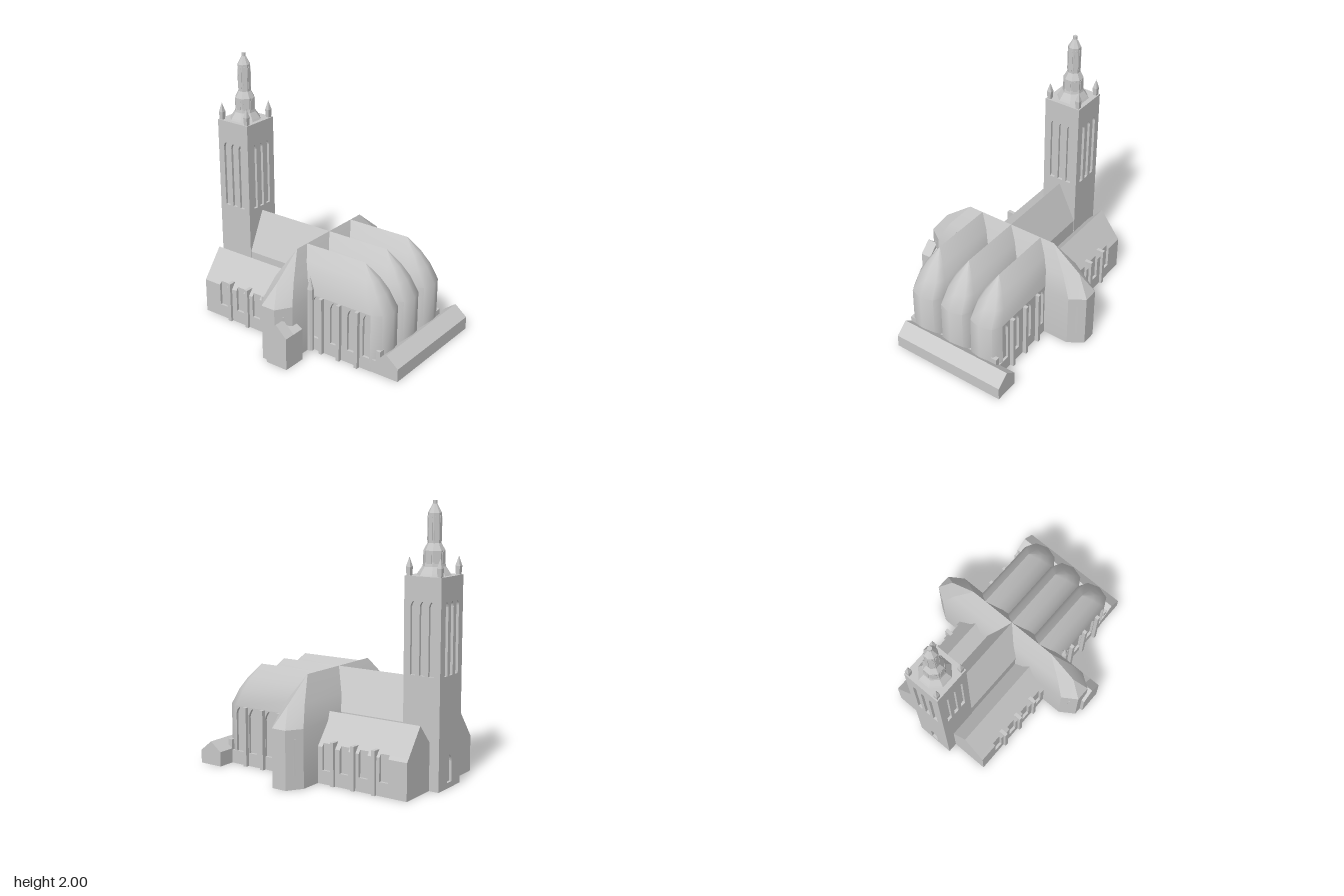
import * as THREE from 'three';
import { toCreasedNormals } from 'three/addons/utils/BufferGeometryUtils.js';

const AXIS_Z = -0.013; // z of the building's long axis
const stone = new THREE.MeshStandardMaterial({ color: 0xc8c8c8 });
stone.name = 'stone';

export function createModel() {
  const model = new THREE.Group();
  model.name = 'church';
  const body = new THREE.Group();
  body.name = 'churchBody';
  body.position.z = AXIS_Z;
  model.add(body);

  const add = (name, geo, parent = body) => {
    const mesh = new THREE.Mesh(geo, stone);
    mesh.name = name;
    parent.add(mesh);
    return mesh;
  };

  // Box given by its limits
  const box = (name, x0, x1, y0, y1, z0, z1, parent = body) => {
    const g = new THREE.BoxGeometry(x1 - x0, y1 - y0, z1 - z0);
    g.translate((x0 + x1) / 2, (y0 + y1) / 2, (z0 + z1) / 2);
    return add(name, g, parent);
  };

  const toShape = (pts) => new THREE.Shape(pts.map(([x, y]) => new THREE.Vector2(x, y)));

  // Prism along x from a [z, y] profile
  const prismX = (name, profile, x0, x1, parent = body) => {
    const g = new THREE.ExtrudeGeometry(toShape(profile.map(([z, y]) => [-z, y])),
      { depth: x1 - x0, bevelEnabled: false });
    g.rotateY(Math.PI / 2).translate(x0, 0, 0);
    return add(name, g, parent);
  };

  // Prism along z from an [x, y] profile
  const prismZ = (name, profile, z0, z1, parent = body) => {
    const g = new THREE.ExtrudeGeometry(toShape(profile), { depth: z1 - z0, bevelEnabled: false });
    g.translate(0, 0, z0);
    return add(name, g, parent);
  };

  // Pointed window outline
  const lancet = (cx, y0, y1, hw, Type = THREE.Path) => {
    const p = new Type(), spring = y1 - 1.7 * hw;
    p.moveTo(cx - hw, y0);
    p.lineTo(cx + hw, y0);
    p.lineTo(cx + hw, spring);
    p.quadraticCurveTo(cx + hw * 0.8, y1 - hw * 0.6, cx, y1);
    p.quadraticCurveTo(cx - hw * 0.8, y1 - hw * 0.6, cx - hw, spring);
    p.lineTo(cx - hw, y0);
    return p;
  };

  // Wall panel pierced by windows, in the xy plane
  const panelGeo = (x0, x1, y1, depth, holes) => {
    const s = toShape([[x0, 0], [x1, 0], [x1, y1], [x0, y1]]);
    s.holes.push(...holes);
    return new THREE.ExtrudeGeometry(s, { depth, bevelEnabled: false, curveSegments: 4 });
  };

  // Skin between rings of [x, z] points stacked by height, with a floor
  const loft = (name, levels, crease) => {
    const pos = [], idx = [], n = levels[0].ring.length;
    for (const { y, ring } of levels) for (const [x, z] of ring) pos.push(x, y, z);
    for (let l = 0; l < levels.length - 1; l++) {
      for (let i = 0; i < n; i++) {
        const a = l * n + i, b = l * n + (i + 1) % n;
        idx.push(a, b, b + n, a, b + n, a + n);
      }
    }
    for (let i = 1; i < n - 1; i++) idx.push(0, i + 1, i);
    const g = new THREE.BufferGeometry();
    g.setAttribute('position', new THREE.Float32BufferAttribute(pos, 3));
    g.setIndex(idx);
    return add(name, toCreasedNormals(g, crease));
  };

  // Nave
  prismX('nave', [[-0.145, 0], [0.145, 0], [0.145, 0.46], [0, 0.765], [-0.145, 0.46]], -0.78, 0.02);

  // Aisles with open window bays and buttresses
  const bays = [-0.665, -0.495, -0.335, -0.185];
  for (const s of [-1, 1]) {
    prismX('aisle', [[0.1, 0], [0.423, 0], [0.423, 0.295], [0.275, 0.49], [0.1, 0.29]]
      .map(([z, y]) => [z * s, y]), -0.85, -0.02);
    const edges = [-0.85, ...bays.flatMap((x) => [x - 0.036, x + 0.036]), -0.05];
    const pier = [[0.423, 0], [0.443, 0], [0.443, 0.27], [0.423, 0.295]].map(([z, y]) => [z * s, y]);
    for (let i = 0; i < edges.length; i += 2) prismX('aislePier', pier, edges[i], edges[i + 1]);
    const [z0, z1] = [0.423 * s, 0.443 * s].sort((a, b) => a - b);
    box('aisleSill', -0.84, -0.06, 0, 0.1, z0, z1);
    for (const x of [-0.59, -0.417, -0.245]) {
      const [b0, b1] = [0.39 * s, 0.465 * s].sort((a, b) => a - b);
      box('aisleButtress', x - 0.014, x + 0.014, 0, 0.32, b0, b1);
    }
  }

  // Transept with faceted ends
  const transeptRing = (y, w, shoulder, tip, end) => ({
    y,
    ring: [[-w, shoulder], [-tip, end], [tip, end], [w, shoulder],
      [w, -shoulder], [tip, -end], [-tip, -end], [-w, -shoulder]].map(([x, z]) => [x + 0.022, z]),
  });
  loft('transept', [
    transeptRing(0, 0.132, 0.61, 0.058, 0.722),
    transeptRing(0.43, 0.132, 0.61, 0.058, 0.722),
    transeptRing(0.585, 0.083, 0.53, 0, 0.615),
    transeptRing(0.765, 0, 0.385, 0, 0.385),
  ], 0.5);
  for (const sx of [-1, 1]) for (const sz of [-1, 1]) {
    const slit = add('transeptSlit', new THREE.BoxGeometry(0.014, 0.26, 0.008));
    slit.position.set(0.022 + sx * 0.095, 0.23, sz * 0.666);
    slit.rotation.y = sx * sz * 1.02;
  }

  // Three choir vaults with rounded ends; outer sides are set back behind window walls
  const choirRing = (y, cz, w, xe, inA, inB) => {
    const r = 0.105 * w / 0.135, xs = xe - r;
    const ring = [[0.02, w - inA], [xs, w - inA]];
    for (let i = 0; i <= 4; i++) {
      const a = Math.PI / 2 - i * Math.PI / 4;
      ring.push([xs + r * Math.cos(a), w * Math.sin(a)]);
    }
    ring.push([xs, -w + inB], [0.02, -w + inB]);
    return { y, ring: ring.map(([x, z]) => [x, z + cz]) };
  };
  for (const s of [-1, 0, 1]) {
    const cz = s * 0.267, a = s === 1 ? 0.02 : 0, b = s === -1 ? 0.02 : 0;
    loft('choirVault', [
      choirRing(0, cz, 0.135, 0.79, a, b),
      choirRing(0.45, cz, 0.135, 0.79, a, b),
      choirRing(0.45, cz, 0.135, 0.79, 0, 0),
      choirRing(0.57, cz, 0.112, 0.72, 0, 0),
      choirRing(0.66, cz, 0.07, 0.65, 0, 0),
      choirRing(0.765, cz, 0, 0.54, 0, 0),
    ], 0.85);
    if (s === 0) continue;
    const windows = [[0.205, 0.035], [0.368, 0.037], [0.522, 0.037], [0.65, 0.03]]
      .map(([x, hw]) => lancet(x, 0.1, 0.443, hw));
    add('choirWindowWall', panelGeo(0.1, 0.685, 0.45, 0.02, windows))
      .position.z = s > 0 ? 0.382 : -0.402;
    for (const x of [0.262, 0.42, 0.58]) {
      const [b0, b1] = [0.37 * s, 0.432 * s].sort((p, q) => p - q);
      box('choirButtress', x - 0.014, x + 0.014, 0, 0.45, b0, b1);
    }
  }

  // Tower: core with four pierced walls
  const tower = new THREE.Group();
  tower.name = 'tower';
  tower.position.x = -0.78;
  body.add(tower);
  box('towerCore', -0.126, 0.126, 0, 1.49, -0.13, 0.13, tower);
  const belfry = () => [-0.073, 0, 0.073].map((x) => lancet(x, 0.805, 1.32, 0.021));
  for (let i = 0; i < 4; i++) {
    const side = i % 2, hw = side ? 0.13 : 0.146, out = side ? 0.126 : 0.13;
    const holes = belfry();
    if (i === 3) holes.push(lancet(0, 0.04, 0.24, 0.03)); // west doorway
    const wall = add('towerWall', panelGeo(-hw, hw, 1.49, 0.02, holes).translate(0, 0, out), tower);
    wall.rotation.y = i * Math.PI / 2;
  }

  // Octagonal lantern and spire
  const lathe = (name, profile, sides, parent) => {
    let g = new THREE.LatheGeometry(profile.map(([r, y]) => new THREE.Vector2(r, y)), sides, Math.PI / sides);
    g = g.toNonIndexed();
    g.computeVertexNormals();
    return add(name, g, parent);
  };
  lathe('lantern', [[0.125, 1.485], [0.113, 1.505], [0.082, 1.55], [0.076, 1.58], [0.076, 1.66], [0.049, 1.71],
    [0.049, 1.915], [0.016, 1.975], [0.016, 2], [0, 2]], 8, tower);
  for (let i = 0; i < 8; i++) {
    for (const [y0, y1, hw, d] of [[1.57, 1.66, 0.018, 0.068], [1.73, 1.9, 0.012, 0.043]]) {
      const g = new THREE.ExtrudeGeometry(lancet(0, y0, y1, hw, THREE.Shape),
        { depth: 0.006, bevelEnabled: false, curveSegments: 3 });
      add('lanternWindow', g.translate(0, 0, d), tower).rotation.y = i * Math.PI / 4;
    }
  }

  // Corner pinnacles
  for (const x of [-0.122, 0.122]) for (const z of [-0.126, 0.126]) {
    lathe('pinnacle', [[0.02, 1.485], [0.025, 1.55], [0, 1.62]], 4, tower).position.set(x, 0, z);
  }

  // Stair turret in the angle of transept and choir
  lathe('stairTurret', [[0.026, 0], [0.026, 0.5], [0, 0.6]], 8, body).position.set(0.165, 0, 0.415);

  // Side porch, with a lower rear part
  const gable = (x0, x1, eave, top) =>
    [[x0, 0], [x1, 0], [x1, eave], [(x0 + x1) / 2, top], [x0, eave]];
  prismZ('porch', gable(0.022, 0.205, 0.25, 0.337), 0.65, 0.735, model);
  prismZ('porchRear', gable(0.022, 0.205, 0.25, 0.3), 0.55, 0.65, model);

  // Low range across the east end, with end blocks
  prismZ('eastRange', [[0.73, 0], [0.92, 0], [0.92, 0.1], [0.822, 0.18], [0.73, 0.11]], -0.55, 0.385, model);
  box('eastRangeBlock', 0.73, 0.765, 0, 0.18, 0.31, 0.38, model);
  box('eastRangeBlock', 0.73, 0.765, 0, 0.18, -0.415, -0.345, model);
  // Floor joining the choir to the east range
  box('choirFloor', 0.6, 0.75, 0, 0.1, -0.415, 0.385, model);

  return model;
}
